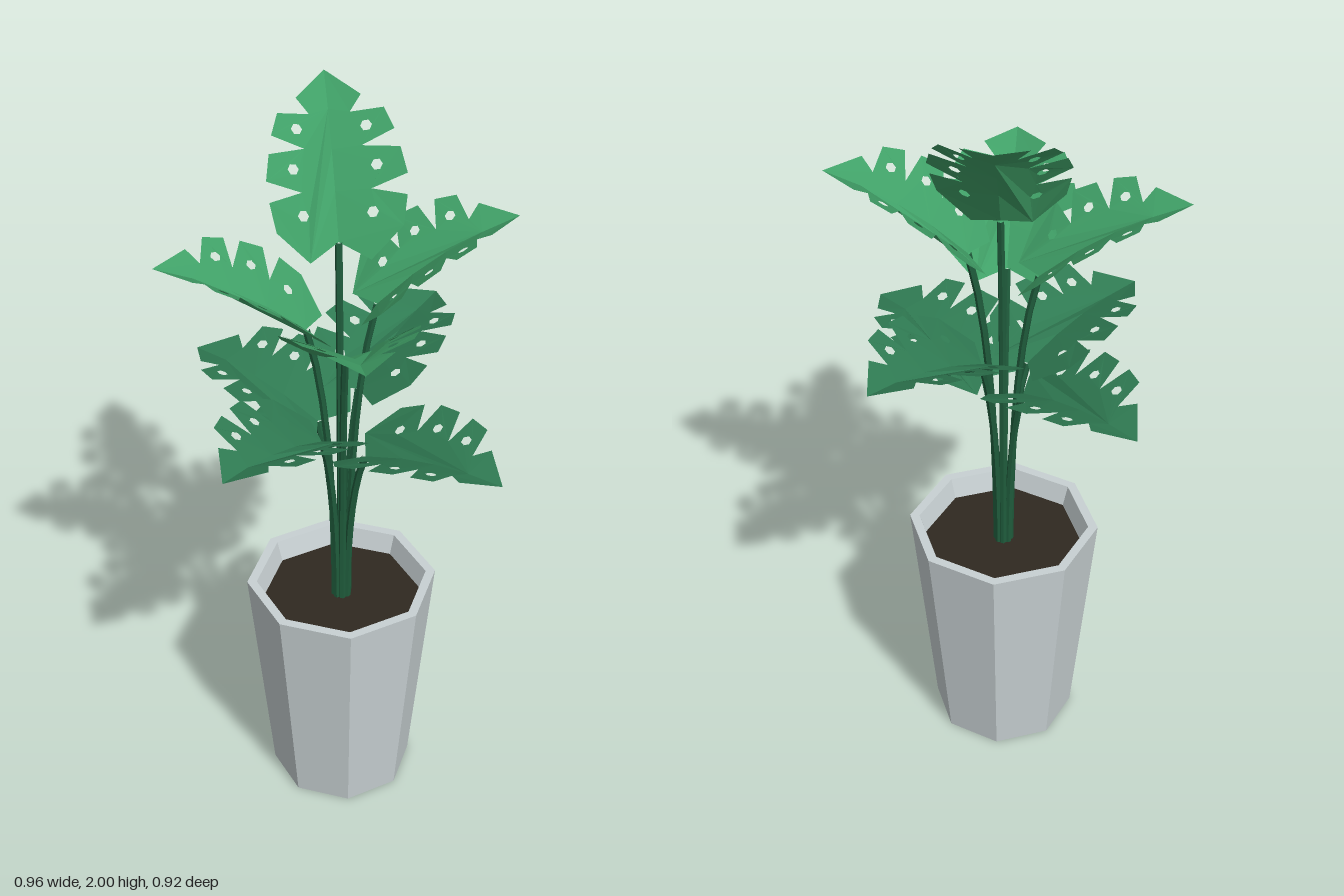
import * as THREE from 'three';
import { mergeGeometries } from 'three/addons/utils/BufferGeometryUtils.js';

const material = (name, color, side = THREE.FrontSide) => {
  const m = new THREE.MeshStandardMaterial({ color, side, flatShading: true });
  m.name = name;
  return m;
};

const LENGTH = 0.42;
// Half-leaf outline as [half-width, distance along midrib], base to tip
const OUTLINE = [
  [0, 0], [0.075, -0.05], [0.155, 0.02], [0.168, 0.09],
  [0.085, 0.115], [0.172, 0.14], [0.16, 0.205],
  [0.07, 0.22], [0.15, 0.25], [0.13, 0.305],
  [0.05, 0.305], [0.08, 0.345], [0, LENGTH],
  [0, 0.32], [0, 0.22], [0, 0.12],
];
const HOLES = [[0.085, 0.06], [0.102, 0.17], [0.085, 0.267]];

// One side of a leaf: flat shape with six-sided holes, folded up and arched
function halfLeaf(side) {
  const shape = new THREE.Shape(OUTLINE.map(([w, u]) => new THREE.Vector2(side * w, u)));
  for (const [w, u] of HOLES) {
    const points = [];
    for (let i = 0; i < 6; i++) {
      const a = (i * Math.PI) / 3;
      points.push(new THREE.Vector2(side * w + 0.014 * Math.cos(a), u + 0.014 * Math.sin(a)));
    }
    shape.holes.push(new THREE.Path(points));
  }
  const geometry = new THREE.ShapeGeometry(shape);
  const p = geometry.attributes.position;
  for (let i = 0; i < p.count; i++) {
    const t = p.getY(i) / LENGTH;
    p.setZ(i, 0.38 * Math.abs(p.getX(i)) + 0.09 * t * (1 - t));
  }
  return geometry;
}

function leafGeometry() {
  const geometry = mergeGeometries([halfLeaf(1), halfLeaf(-1)]).toNonIndexed();
  geometry.computeVertexNormals();
  return geometry;
}

// Places a leaf so that its midrib runs from base to tip
function addLeaf(group, geometry, mat, name, base, tip) {
  const forward = tip.clone().sub(base);
  const stretch = forward.length() / LENGTH;
  forward.normalize();
  const side = forward.clone().cross(new THREE.Vector3(0, 1, 0)).normalize();
  const normal = side.clone().cross(forward);
  const leaf = new THREE.Mesh(geometry, mat);
  leaf.name = name;
  leaf.quaternion.setFromRotationMatrix(new THREE.Matrix4().makeBasis(side, forward, normal));
  leaf.position.copy(base);
  leaf.scale.set(1, stretch, 1);
  group.add(leaf);
}

// Upright stem bending outwards to the leaf base
function addStem(group, mat, name, base, tip) {
  const angle = Math.atan2(tip.z, tip.x);
  const x = 0.018 * Math.cos(angle), z = 0.018 * Math.sin(angle);
  const curve = new THREE.QuadraticBezierCurve3(
    new THREE.Vector3(x, 0.59, z),
    new THREE.Vector3(x * 1.1, 0.59 + (base.y - 0.59) * 0.72, z * 1.1),
    base,
  );
  const stem = new THREE.Mesh(new THREE.TubeGeometry(curve, 8, 0.0095, 6), mat);
  stem.name = name;
  group.add(stem);
}

export function createModel() {
  const model = new THREE.Group();
  model.name = 'pottedPlant';
  const potGrey = material('pot grey', 0xc8d1d3);
  const soilBrown = material('soil brown', 0x2f2920);
  const stemGreen = material('stem green', 0x1f5c3c);
  const lightGreen = material('light leaf green', 0x40a067, THREE.DoubleSide);
  const deepGreen = material('deep leaf green', 0x2f7a52, THREE.DoubleSide);

  // Eight-sided tapered pot with a thick rim
  const profile = [[0, 0], [0.195, 0], [0.258, 0.667], [0.232, 0.667], [0.212, 0.6]];
  const pot = new THREE.Mesh(
    new THREE.LatheGeometry(profile.map(([r, y]) => new THREE.Vector2(r, y)), 8), potGrey);
  pot.name = 'pot';
  model.add(pot);

  const soil = new THREE.Mesh(new THREE.CircleGeometry(0.215, 8).rotateX(-Math.PI / 2), soilBrown);
  soil.name = 'soil';
  soil.position.y = 0.61;
  model.add(soil);

  // Leaves: name, material, base point, tip point
  const leaves = [
    ['lowerLeftLeaf', deepGreen, [0.08, 1.11, 0], [0.48, 1.18, -0.04]],
    ['lowerRightLeaf', deepGreen, [-0.08, 1.15, 0], [-0.48, 1.225, 0.025]],
    ['lowerFrontLeaf', deepGreen, [0, 1.165, 0.08], [0.01, 1.255, 0.46]],
    ['lowerBackLeaf', deepGreen, [-0.01, 1.24, -0.08], [-0.05, 1.34, -0.46]],
    ['upperFrontLeftLeaf', lightGreen, [0.065, 1.43, 0.065], [0.335, 1.63, 0.32]],
    ['upperFrontRightLeaf', lightGreen, [-0.06, 1.47, 0.065], [-0.3, 1.68, 0.345]],
    ['upperBackLeftLeaf', lightGreen, [0.06, 1.53, -0.065], [0.295, 1.75, -0.32]],
    ['upperBackRightLeaf', lightGreen, [-0.05, 1.67, -0.05], [-0.25, 2, -0.235]],
  ];
  const geometry = leafGeometry();
  for (const [name, mat, b, t] of leaves) {
    const base = new THREE.Vector3(...b), tip = new THREE.Vector3(...t);
    addLeaf(model, geometry, mat, name, base, tip);
    addStem(model, stemGreen, name.replace('Leaf', 'Stem'), base, tip);
  }
  return model;
}
